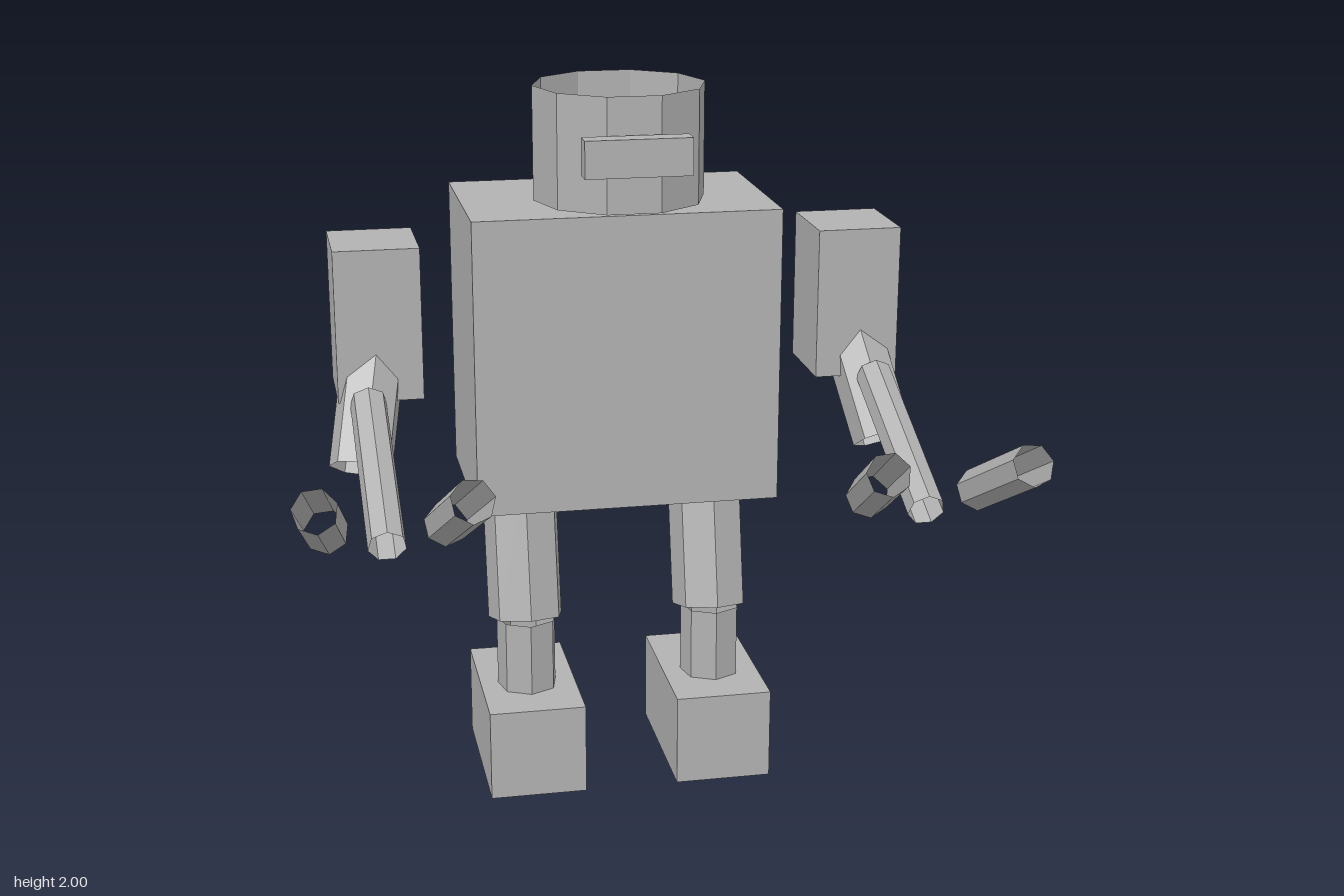
import * as THREE from 'three';

export function createModel() {
  const robot = new THREE.Group();
  robot.name = 'robot';
  const grey = new THREE.MeshStandardMaterial({ color: 0xb2b2b2, flatShading: true, side: THREE.DoubleSide });
  grey.name = 'plain grey';

  function add(name, geometry, parent = robot) {
    const mesh = new THREE.Mesh(geometry, grey);
    mesh.name = name;
    parent.add(mesh);
    return mesh;
  }

  // Box given by its lower and upper limits on each axis
  function box(name, [x0, x1], [y0, y1], [z0, z1], parent) {
    const mesh = add(name, new THREE.BoxGeometry(x1 - x0, y1 - y0, z1 - z0), parent);
    mesh.position.set((x0 + x1) / 2, (y0 + y1) / 2, (z0 + z1) / 2);
  }

  // Open seven-sided tube between two points
  function tube(name, bottom, top, radius, parent) {
    const a = new THREE.Vector3(...bottom);
    const b = new THREE.Vector3(...top);
    const mesh = add(name, new THREE.CylinderGeometry(radius, radius, a.distanceTo(b), 7, 1, true), parent);
    mesh.position.copy(a).add(b).multiplyScalar(0.5);
    mesh.quaternion.setFromUnitVectors(new THREE.Vector3(0, 1, 0), b.sub(a).normalize());
  }

  // Torso and backpack
  box('torso', [-0.423, 0.423], [0.845, 1.67], [-0.615, -0.077]);
  box('backpack', [-0.295, 0.295], [1.02, 1.53], [-0.678, -0.622]);

  // Head: open ten-sided ring, with a visor floating in front
  const head = add('head', new THREE.CylinderGeometry(0.236, 0.236, 0.31, 10, 1, true));
  head.position.set(0, 1.845, -0.225);
  head.rotation.y = Math.PI / 2;
  box('visor', [-0.143, 0.143], [1.8, 1.9], [0.01, 0.068]);

  for (const s of [1, -1]) {
    const side = s > 0 ? 'left' : 'right';
    const span = (a, b) => (s > 0 ? [a, b] : [-b, -a]);

    // Leg
    const leg = new THREE.Group();
    leg.name = side + 'Leg';
    robot.add(leg);
    tube('upperLeg', [s * 0.271, 0.472, -0.247], [s * 0.271, 0.9, -0.34], 0.109, leg);
    tube('lowerLeg', [s * 0.271, 0.2, -0.24], [s * 0.271, 0.473, -0.24], 0.0865, leg);
    box('foot', span(0.133, 0.407), [0, 0.263], [-0.512, -0.041], leg);

    // Arm with a two-finger gripper
    const arm = new THREE.Group();
    arm.name = side + 'Arm';
    robot.add(arm);
    box('shoulder', span(0.552, 0.785), [1.165, 1.585], [-0.424, -0.167], arm);
    tube('upperArm', [s * 0.735, 1.0, -0.095], [s * 0.675, 1.29, -0.265], 0.088, arm);
    tube('forearm', [s * 0.707, 0.952, 0.385], [s * 0.707, 1.18, -0.122], 0.05, arm);
    for (const f of [1, -1]) {
      tube(f > 0 ? 'outerFinger' : 'innerFinger',
        [s * (0.705 + f * 0.15), 0.987, 0.348],
        [s * (0.705 + f * 0.188), 1.153, 0.648], 0.057, arm);
    }
  }
  return robot;
}
